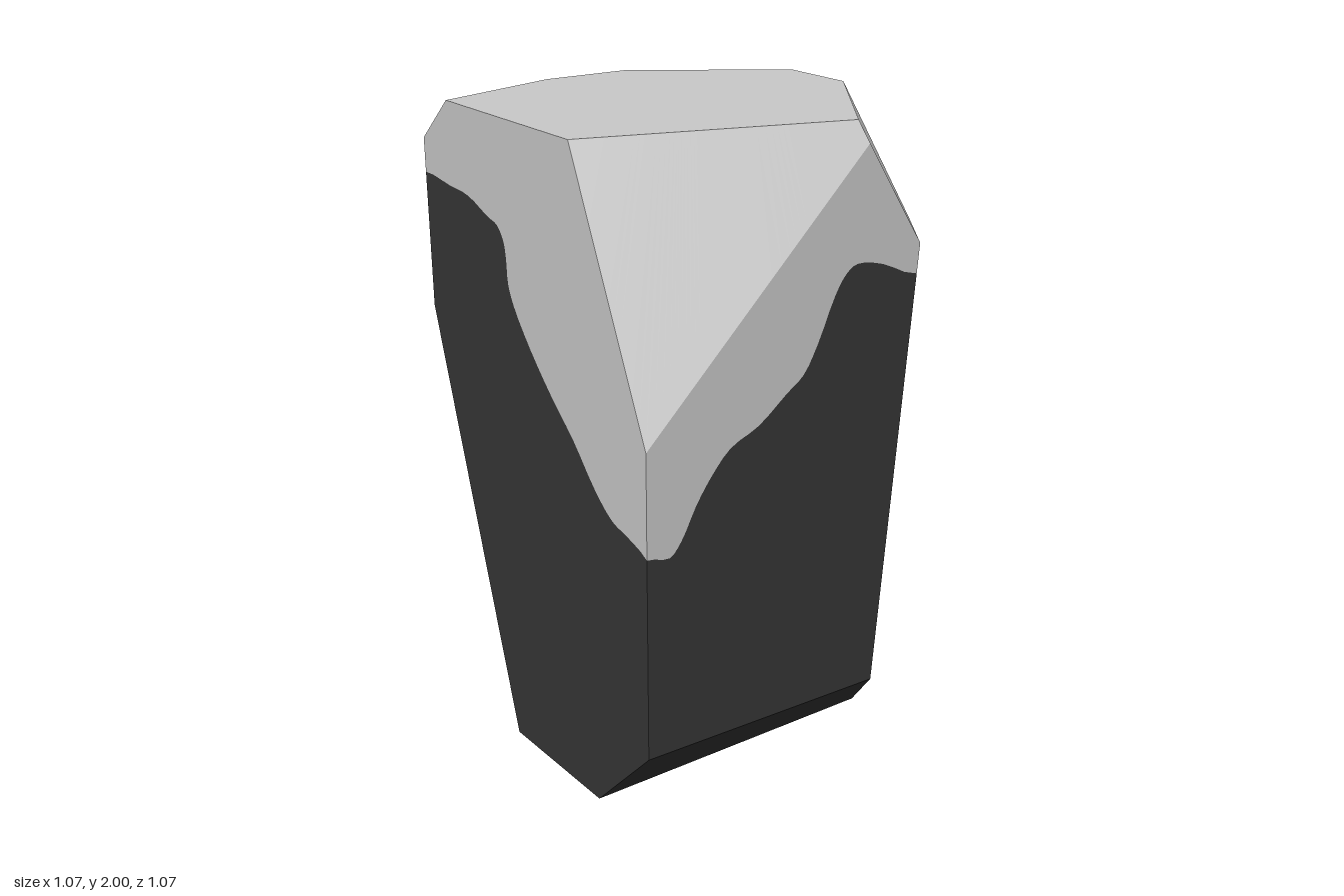
import * as THREE from 'three';

const V = (x, y, z) => new THREE.Vector3(x, y, z);
const W = 0.537, H = 2;
const CENTRE = V(0, 1.35, 0);

// plane through three points, facing away from the centre of the block
function cut(a, b, c) {
  const p = new THREE.Plane().setFromCoplanarPoints(V(...a), V(...b), V(...c));
  return p.distanceToPoint(CENTRE) > 0 ? p.negate() : p;
}

// keep the part of a convex polygon behind a plane
function clip(poly, plane) {
  const out = [];
  poly.forEach((p, i) => {
    const q = poly[(i + 1) % poly.length];
    const dp = plane.distanceToPoint(p), dq = plane.distanceToPoint(q);
    if (dp <= 0) out.push(p);
    if ((dp < 0 && dq > 0) || (dp > 0 && dq < 0)) out.push(p.clone().lerp(q, dp / (dp - dq)));
  });
  return out;
}

// large square lying on a plane, counter-clockwise from outside
function square(plane) {
  const n = plane.normal;
  const u = (Math.abs(n.y) > 0.9 ? V(1, 0, 0) : V(0, 1, 0)).cross(n).normalize();
  const v = n.clone().cross(u);
  const o = n.clone().multiplyScalar(-plane.constant);
  return [[-9, -9], [9, -9], [9, 9], [-9, 9]].map(([a, b]) =>
    o.clone().addScaledVector(u, a).addScaledVector(v, b));
}

// box sides
const planes = [
  new THREE.Plane(V(1, 0, 0), -W), new THREE.Plane(V(-1, 0, 0), -W),
  new THREE.Plane(V(0, 0, 1), -W), new THREE.Plane(V(0, 0, -1), -W),
  new THREE.Plane(V(0, 1, 0), -H), new THREE.Plane(V(0, -1, 0), 0),
  // large bevel, front upper corner at +x
  cut([0.215, H, W], [W, 1.235, W], [0.505, H, -0.21]),
  // back upper corner at +x
  cut([0.10, H, -W], [0.505, H, -0.21], [W, 1.62, -0.445]),
  // upright back bevel at +x
  cut([W, 1.62, -0.445], [W, 0.205, -0.34], [0.40, 1.65, -W]),
  // lower bevel at +x
  cut([0.285, 0, W], [W, 0.28, W], [W, 0.205, -0.34]),
  // small upper bevels at -x
  cut([-0.395, H, W], [-0.47, H, 0.145], [-W, 1.868, W]),
  cut([-0.47, H, 0.145], [-0.44, H, -0.125], [-W, 1.805, -0.12]),
  // large bevel, back upper corner at -x
  cut([-0.13, H, -W], [-0.44, H, -0.125], [-W, 1.165, -W]),
  // lower corners at -x, front and back
  cut([-W, 1.35, W], [-0.16, 0, W], [-W, 0, 0.15]),
  cut([-W, 0.755, -W], [-W, 0, -0.347], [-0.295, 0, -W]),
];

// wavy colour border, walked round the four sides: [position along side, height]
const front = [[-W, 1.765], [-0.4, 1.752], [-0.3, 1.743], [-0.2, 1.705], [-0.15, 1.69], [-0.12, 1.65],
  [-0.11, 1.6], [-0.105, 1.53], [-0.08, 1.47], [0, 1.36], [0.1, 1.25], [0.2, 1.155], [0.3, 1.04],
  [0.38, 0.975], [0.45, 0.955], [W, 0.92]];
const right = [[0.46, 0.902], [0.42, 0.94], [0.37, 1.03], [0.32, 1.1], [0.25, 1.17], [0.15, 1.21],
  [0.05, 1.28], [-0.01, 1.32], [-0.06, 1.4], [-0.12, 1.53], [-0.16, 1.585], [-0.2, 1.605],
  [-0.3, 1.585], [-0.438, 1.53]];
const back = [[0.383, 1.5], [0.3, 1.545], [0.143, 1.547], [-0.013, 1.568], [-0.13, 1.572], [-0.209, 1.516],
  [-0.287, 1.396], [-0.404, 1.197], [-0.482, 1.119], [-W, 1.105]];
const left = [[-0.459, 1.108], [-0.369, 1.189], [-0.168, 1.322], [0, 1.446], [0.168, 1.536],
  [0.335, 1.584], [0.447, 1.65]];
const knots = [
  ...front.map(([x, y]) => V(x, y, W)), ...right.map(([z, y]) => V(W, y, z)),
  ...back.map(([x, y]) => V(x, y, -W)), ...left.map(([z, y]) => V(-W, y, z)),
];

export function createModel() {
  const curve = new THREE.CatmullRomCurve3(knots, true, 'centripetal');
  const count = knots.length * 3;
  const border = Array.from({ length: count }, (_, i) => curve.getPoint(i / count));

  // facets of the block: each plane trimmed by all the others
  const facets = planes.map((p) =>
    planes.reduce((poly, q) => (q === p ? poly : clip(poly, q)), square(p)));

  // split every facet above and below the border, one narrow wedge at a time
  const lower = [], upper = [];
  const add = (list, poly) => {
    for (let i = 1; i < poly.length - 1; i++) {
      for (const p of [poly[0], poly[i], poly[i + 1]]) list.push(p.x, p.y, p.z);
    }
  };
  const upright = (p, sign) =>
    new THREE.Plane(V(p.z, 0, -p.x).normalize().multiplyScalar(sign), 0);
  border.forEach((a, i) => {
    const b = border[(i + 1) % count];
    const start = upright(a, 1), end = upright(b, -1);
    if (start.distanceToPoint(b) > 0) { start.negate(); end.negate(); }
    const split = new THREE.Plane().setFromCoplanarPoints(CENTRE, a, b);
    if (split.normal.y < 0) split.negate();
    const over = split.clone().negate();
    for (const facet of facets) {
      const piece = clip(clip(facet, start), end);
      if (piece.length < 3) continue;
      add(lower, clip(piece, split));
      add(upper, clip(piece, over));
    }
  });

  const charcoal = new THREE.MeshStandardMaterial({ color: 0x363636 });
  charcoal.name = 'charcoal';
  const paleGrey = new THREE.MeshStandardMaterial({ color: 0xcacaca });
  paleGrey.name = 'pale grey';

  const group = new THREE.Group();
  group.name = 'facetedStone';
  for (const [name, list, material] of [['darkBody', lower, charcoal], ['paleCap', upper, paleGrey]]) {
    const geometry = new THREE.BufferGeometry();
    geometry.setAttribute('position', new THREE.Float32BufferAttribute(list, 3));
    geometry.computeVertexNormals();
    const mesh = new THREE.Mesh(geometry, material);
    mesh.name = name;
    group.add(mesh);
  }
  return group;
}
